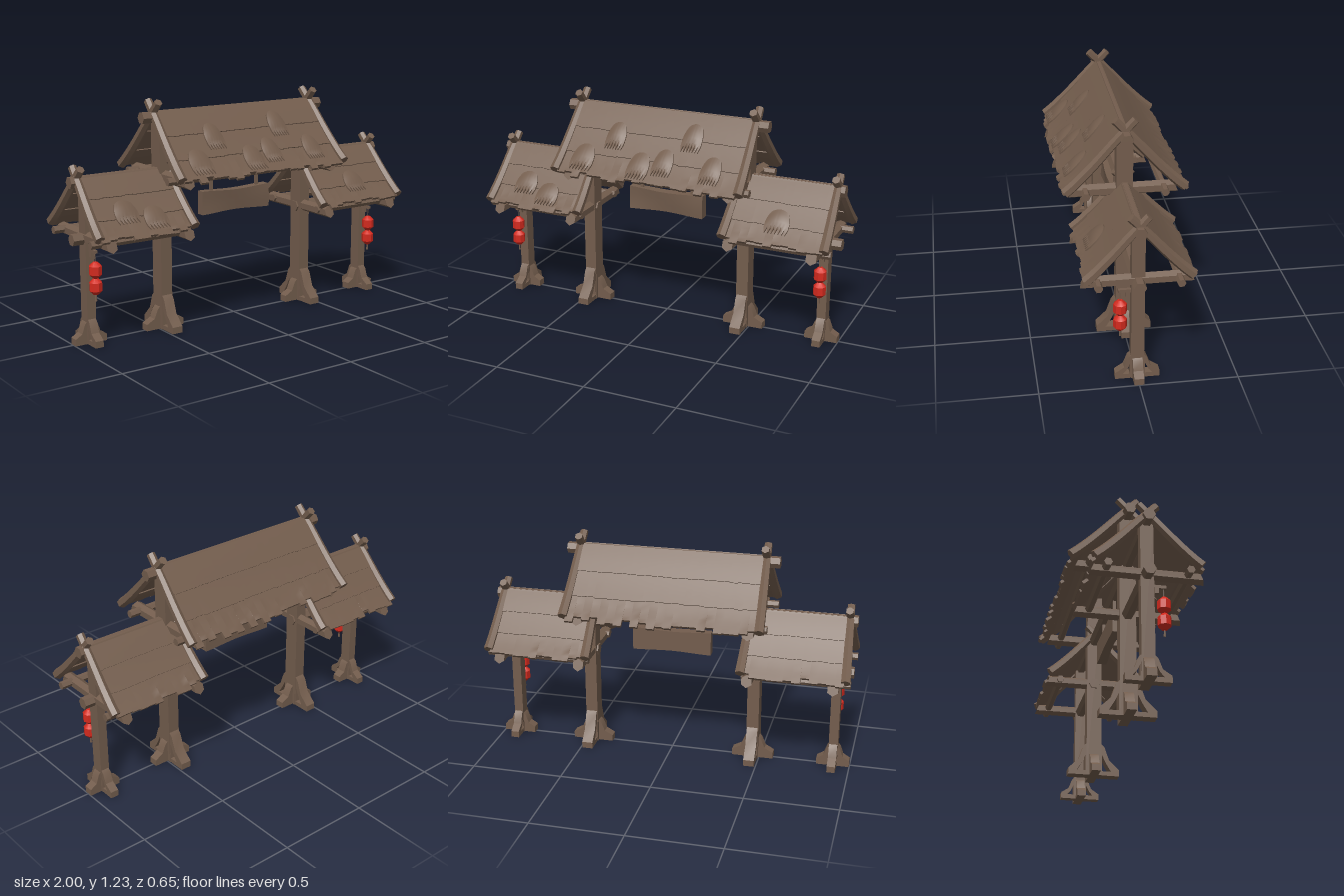
import * as THREE from 'three';
import { toCreasedNormals } from 'three/addons/utils/BufferGeometryUtils.js';

const wood = new THREE.MeshStandardMaterial({ color: 0x735d4d });
wood.name = 'weathered wood';
const red = new THREE.MeshStandardMaterial({ color: 0xd42a1e });
red.name = 'lantern red';

export function createModel() {
  const model = new THREE.Group();
  model.name = 'gateway';
  let seed = 7;
  const rand = () => (seed = (seed * 16807) % 2147483647) / 2147483647;

  const add = (parent, name, geo, mat = wood) => {
    const mesh = new THREE.Mesh(toCreasedNormals(geo, 0.6), mat);
    mesh.name = name;
    parent.add(mesh);
    return mesh;
  };
  const box = (parent, name, w, h, d, x, y, z) =>
    add(parent, name, new THREE.BoxGeometry(w, h, d).translate(x, y, z));
  const group = (name, parent = model) => {
    const g = new THREE.Group();
    g.name = name;
    parent.add(g);
    return g;
  };
  // six-sided log along x
  const logX = (parent, name, r, x0, x1, y, z) =>
    add(parent, name, new THREE.CylinderGeometry(r, r, x1 - x0, 6)
      .rotateZ(Math.PI / 2).translate((x0 + x1) / 2, y, z));
  // six-sided log along z, ends cut at a slant
  const logZ = (parent, name, r, half, x, y) => {
    const g = new THREE.CylinderGeometry(r, r, half * 2, 6).rotateX(Math.PI / 2);
    const p = g.attributes.position;
    for (let i = 0; i < p.count; i++) p.setZ(i, p.getZ(i) - Math.sign(p.getZ(i)) * (p.getY(i) + r) * 0.4);
    add(parent, name, g.translate(x, y, 0));
  };

  // sagging roof slope: t runs from ridge to eave, off is measured along the normal
  const slope = (ridgeY, s) => {
    const curve = new THREE.CatmullRomCurve3(
      [[0, 0.02], [0.047, -0.03], [0.16, -0.155], [0.25, -0.245], [0.312, -0.298]]
        .map(([z, y]) => new THREE.Vector3(0, ridgeY + y * s, z * s)));
    const len = curve.getLength();
    return (x, off, t) => {
      const c = Math.min(1, Math.max(0, t));
      const p = curve.getPointAt(c), d = curve.getTangentAt(c);
      p.addScaledVector(d, (t - c) * len);
      return [x, p.y + d.z * off, p.z - d.y * off];
    };
  };
  // move every vertex of a geometry by a rule
  const warp = (geo, rule) => {
    const p = geo.attributes.position;
    for (let i = 0; i < p.count; i++) p.setXYZ(i, ...rule(p.getX(i), p.getY(i), p.getZ(i)));
    return geo;
  };

  // overlapping plank tier with a stepped lower edge
  function tier(parent, at, x0, x1, t0, t1, off, rag) {
    const n = Math.round((x1 - x0) / 0.045);
    const ends = Array.from({ length: n }, () => t1 + (rand() - 0.55) * rag);
    const geo = new THREE.BoxGeometry(1, 0.016, 1, 2 * n - 1, 1, 5);
    add(parent, 'roofPlanks', warp(geo, (x, y, z) => {
      const i = Math.round((x + 0.5) * (2 * n - 1)), k = i >> 1;
      const u = (k + (i & 1) * 0.99) / n;
      return at(x0 + (x1 - x0) * u, y + off, t0 + (ends[k] - t0) * (z + 0.5));
    }));
  }

  // thatch tuft with a rounded top and a frayed lower edge
  function tuft(parent, at, x, t, w) {
    const geo = new THREE.BoxGeometry(1, 0.008, 1, 14, 1, 5);
    add(parent, 'thatchPatch', warp(geo, (u, y, z) => {
      const v = z + 0.5, fray = Math.round((u + 0.5) * 14) % 2 ? 0.06 : -0.02;
      const wide = w * (0.72 + 0.28 * Math.sin(Math.min(1, v * 1.6) * Math.PI / 2));
      const top = 0.05 * (1 - 4 * u * u);
      const bulge = 0.01 * Math.sin(v * Math.PI) * (1 - 4 * u * u);
      return at(x + u * wide, y + 0.021 + bulge, t - 0.13 - top + v * (0.26 + top) + (v > 0.99 ? fray : 0));
    }));
  }

  // curved rafter that runs past the ridge
  function rafter(parent, at, x, splay, r) {
    const geo = new THREE.CylinderGeometry(r * 1.2, r * 0.95, 1, 6, 10).rotateX(Math.PI / 2);
    add(parent, 'rafter', warp(geo, (px, py, pz) =>
      at(x + px + splay * (pz + 0.5), py + 0.004, -0.18 + (pz + 0.5) * 1.15)));
  }

  function roof(name, ridgeY, s, x0, x1, rafters, tufts, ridge) {
    const g = group(name), at = slope(ridgeY, s);
    [0, Math.PI].forEach((turn) => {
      const side = group(turn ? 'backSlope' : 'frontSlope', g);
      const m = turn ? -1 : 1; // the back slope is turned half round
      const a = Math.min(x0 * m, x1 * m), b = Math.max(x0 * m, x1 * m);
      tier(side, at, a, b, 0, 0.36, 0.009, 0.01);
      tier(side, at, a, b, 0.32, 0.69, 0.003, 0.015);
      tier(side, at, a, b, 0.65, 1.0, -0.003, 0.09);
      rafters.forEach(([x, splay]) => rafter(side, at, x * m, splay * m, 0.023));
      if (!turn) tufts.forEach(([x, t, w]) => tuft(side, at, x, t, w));
      side.rotation.y = turn;
    });
    logX(g, 'ridgePole', 0.032, ridge[0], ridge[1], ridgeY, 0);
  }

  // central roof and its frame
  roof('mainRoof', 1.135, 1, -0.51, 0.51, [[-0.505, -0.02], [0.505, 0.02]],
    [[-0.23, 0.42, 0.11], [-0.38, 0.76, 0.13], [-0.05, 0.78, 0.12],
      [0.08, 0.7, 0.11], [0.2, 0.33, 0.11], [0.35, 0.72, 0.11]], [-0.58, 0.58]);
  const frame = group('mainFrame');
  logX(frame, 'tieBeam', 0.032, -0.46, 0.46, 0.825, 0);
  [-0.2, 0.2].forEach((z) => logX(frame, 'purlin', 0.021, -0.55, 0.55, 0.83, z));

  // foot brace profile, extruded to a width and turned to one of four sides
  function brace(parent, reach, height, width, start, turn) {
    const sh = new THREE.Shape();
    sh.moveTo(start, 0);
    sh.lineTo(reach, 0);
    sh.lineTo(reach, 0.035);
    sh.lineTo(start + (reach - start) * 0.45, height * 0.48);
    sh.lineTo(start + (reach - start) * 0.2, height * 0.88);
    sh.lineTo(start, height);
    // open gap behind the curved strut
    const gap = new THREE.Path();
    gap.moveTo(start + 0.008, 0.025);
    gap.lineTo(start + 0.008, height * 0.62);
    gap.lineTo(start + (reach - start) * 0.3, height * 0.36);
    gap.lineTo(start + (reach - start) * 0.55, 0.025);
    if (height > 0.13) sh.holes.push(gap);
    const geo = new THREE.ExtrudeGeometry(sh, { depth: width, bevelEnabled: false });
    add(parent, 'footBrace', geo.translate(0, 0, -width / 2).rotateY(turn));
  }

  function post(name, x, w, d, h, reachX, reachZ, hx, hz) {
    const g = group(name);
    box(g, 'shaft', w, h, d, 0, h / 2, 0);
    [0, Math.PI].forEach((turn) => {
      brace(g, reachX, hx, 0.05, w / 2 - 0.003, turn);
      brace(g, reachZ, hz, w * 0.9, d / 2 - 0.003, turn + Math.PI / 2);
    });
    g.position.x = x;
    return g;
  }

  for (const s of [-1, 1]) {
    const span = (a, b) => [Math.min(a * s, b * s), Math.max(a * s, b * s)];
    // wing roof, lower than the central one
    roof('wingRoof', 0.845, 0.86, ...span(0.425, 0.965),
      [[0.955 * s, 0.018 * s], [0.435 * s, -0.012 * s]],
      s < 0 ? [[-0.78, 0.62, 0.13], [-0.63, 0.76, 0.13]] : [[0.7, 0.64, 0.13]], span(0.42, 1));
    const wing = group('wingFrame');
    logX(wing, 'tieBeam', 0.032, ...span(0.42, 0.995), 0.552, 0);
    [-0.2, 0.2].forEach((z) => logX(wing, 'purlin', 0.021, ...span(0.42, 0.995), 0.565, z));
    logZ(wing, 'crossBeam', 0.032, 0.28, 0.91 * s, 0.56);
    logZ(wing, 'crossBeam', 0.032, 0.28, 0.46 * s, 0.56);
    logZ(frame, 'crossBeam', 0.034, 0.28, 0.46 * s, 0.825);

    // posts
    post('innerPost', 0.462 * s, 0.066, 0.085, 1.11, 0.114, 0.145, 0.125, 0.19);
    const outer = post('outerPost', 0.908 * s, 0.05, 0.066, 0.83, 0.09, 0.112, 0.12, 0.135);

    // lantern string on a bracket
    const hang = group('lanternString', outer);
    box(hang, 'bracketArm', 0.018, 0.016, 0.065, 0, 0.498, 0.063);
    box(hang, 'bracketBlock', 0.018, 0.028, 0.02, 0, 0.477, 0.05);
    const cord = new THREE.CylinderGeometry(0.002, 0.002, 0.25, 5);
    add(hang, 'cord', cord.translate(0, 0.375, 0.085));
    const tassel = new THREE.CylinderGeometry(0.004, 0.006, 0.032, 6);
    add(hang, 'tassel', tassel.translate(0, 0.257, 0.085));
    [0.403, 0.318].forEach((y) => {
      const profile = [[0, -0.043], [0.012, -0.043], [0.034, -0.022], [0.034, 0.022], [0.012, 0.043], [0, 0.043]]
        .map(([r, h]) => new THREE.Vector2(r, h));
      add(hang, 'lantern', new THREE.LatheGeometry(profile, 8).translate(0, y, 0.085), red);
    });

    // hanger of the board
    box(frame, 'boardHanger', 0.016, 0.11, 0.016, 0.15 * s, 0.755, 0);
  }

  // blank hanging board, slightly bowed and worn
  const board = new THREE.BoxGeometry(0.436, 0.12, 0.05, 10, 3, 1);
  add(model, 'hangingBoard', warp(board, (x, y, z) => [
    x, y + 0.648 - 0.004 * Math.cos(x * 14) * Math.sign(y),
    z + (z > 0 ? 0.006 * Math.sin(x * 9 + y * 20) : 0)]));

  return model;
}
